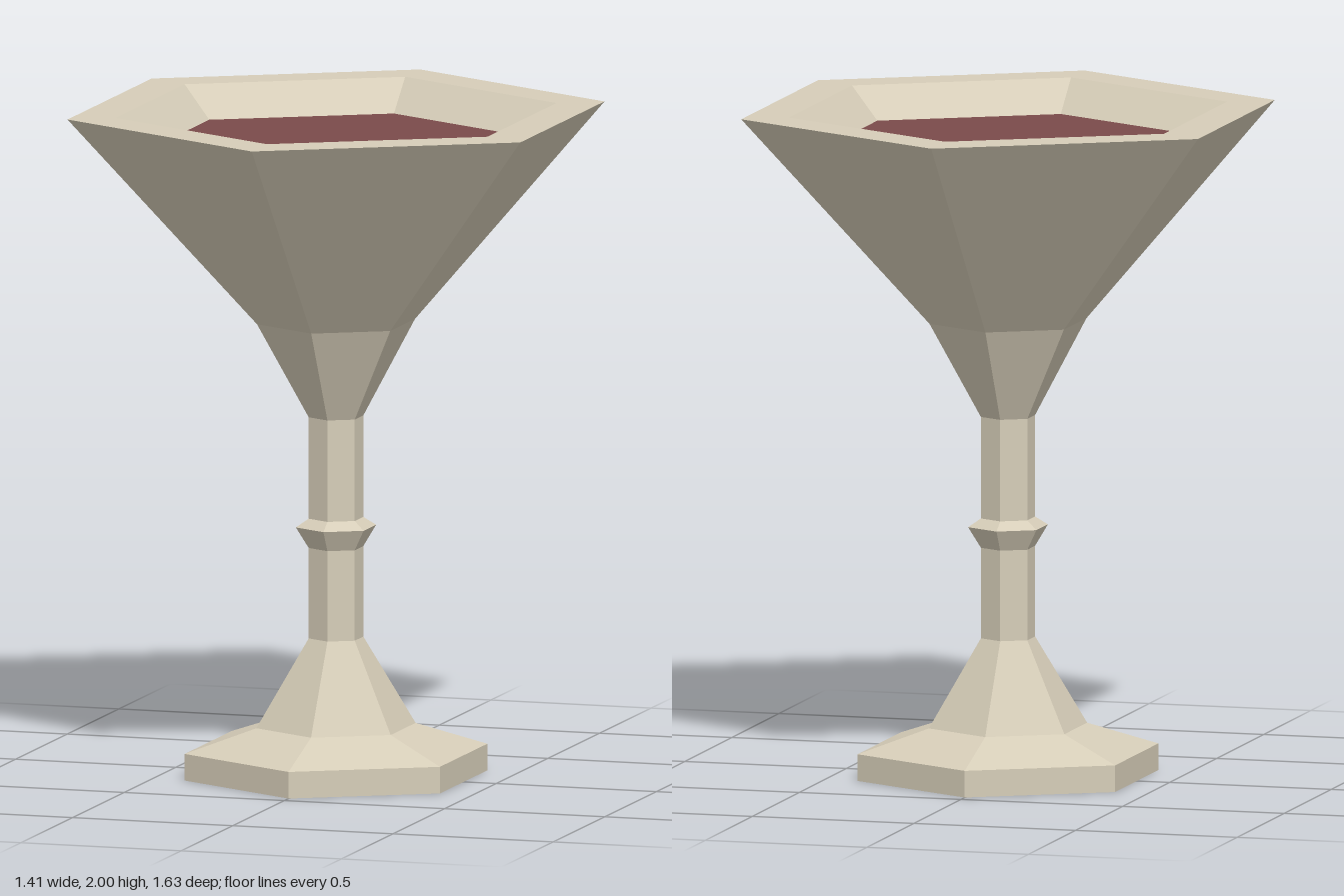
import * as THREE from 'three';

const SIDES = 6;

export function createModel() {
  const model = new THREE.Group();
  model.name = 'goblet';

  const stone = new THREE.MeshStandardMaterial({ color: 0xd6cdb8 });
  stone.name = 'pale stone';
  const wine = new THREE.MeshStandardMaterial({ color: 0x7a4a4a });
  wine.name = 'dark red wine';

  // Hexagonal faceted turning from [radius, height] points, with a corner facing +z
  function turned(name, profile, material) {
    const points = profile.map(([r, y]) => new THREE.Vector2(r, y));
    const geometry = new THREE.LatheGeometry(points, SIDES).toNonIndexed();
    geometry.computeVertexNormals(); // flat facets
    const mesh = new THREE.Mesh(geometry, material);
    mesh.name = name;
    model.add(mesh);
  }

  // Foot: flat underside, short skirt, sloping top
  turned('foot', [[0, 0], [0.46, 0], [0.46, 0.08], [0.242, 0.15]], stone);

  // Stem: flared bottom, then a slim shaft with a collar half way up
  turned('stemFlare', [[0.242, 0.15], [0.083, 0.415]], stone);
  turned('lowerStem', [[0.083, 0.415], [0.083, 0.687]], stone);
  turned('collar', [[0.083, 0.687], [0.122, 0.75], [0.083, 0.775]], stone);
  turned('upperStem', [[0.083, 0.775], [0.083, 1.08]], stone);

  // Bowl: neck, wide cup, flat rim and sloping inside
  turned('bowlNeck', [[0.083, 1.08], [0.24, 1.365]], stone);
  turned('bowl', [[0.24, 1.365], [0.816, 2]], stone);
  turned('rim', [[0.816, 2], [0.67, 2]], stone);
  turned('bowlInside', [[0.67, 2], [0.56, 1.905], [0.19, 1.5], [0, 1.5]], stone);

  // Wine surface
  turned('wineSurface', [[0.562, 1.906], [0, 1.906]], wine);

  return model;
}
